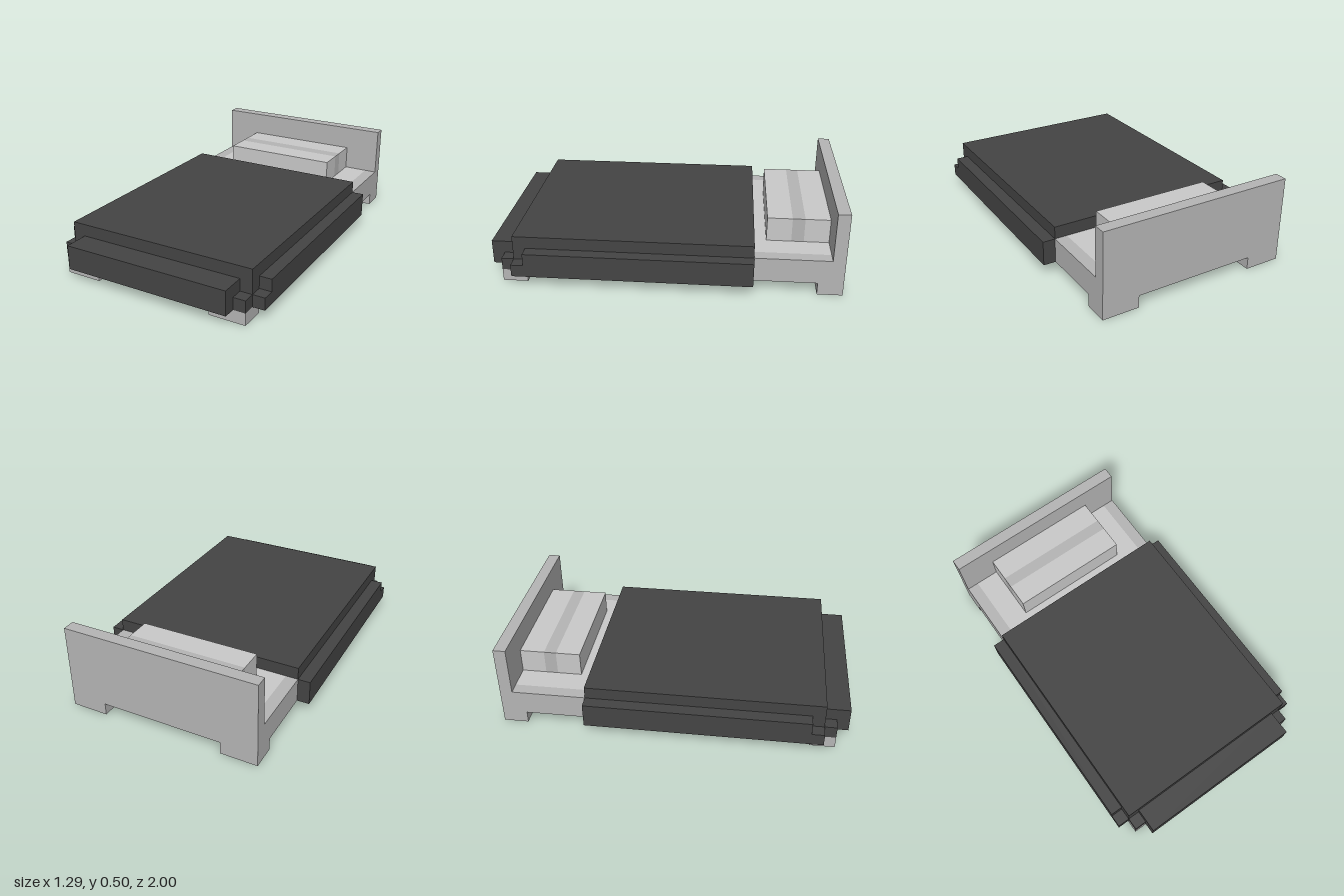
import * as THREE from 'three';

const U = 1 / 14; // size of one grid cell

const paint = (name, hex) => {
  const m = new THREE.MeshStandardMaterial({ color: hex });
  m.name = name;
  return m;
};

export function createModel() {
  const bed = new THREE.Group();
  bed.name = 'bed';
  const frameGrey = paint('frame grey', 0xb5b5b5);
  const linen = paint('light linen', 0xc9c9c9);
  const dark = paint('dark blanket', 0x444444);

  // Block between two corners given in grid cells
  const block = (name, material, [x0, x1], [y0, y1], [z0, z1]) => {
    const geometry = new THREE.BoxGeometry((x1 - x0) * U, (y1 - y0) * U, (z1 - z0) * U);
    const mesh = new THREE.Mesh(geometry, material);
    mesh.position.set((x0 + x1) / 2, (y0 + y1) / 2, (z0 + z1) / 2).multiplyScalar(U);
    mesh.name = name;
    bed.add(mesh);
  };
  // The same block on the left and right
  const pair = (name, material, [x0, x1], y, z) => {
    block(name + 'Left', material, [x0, x1], y, z);
    block(name + 'Right', material, [-x1, -x0], y, z);
  };

  // Frame, headboard and legs
  block('headboard', frameGrey, [-8, 8], [1, 7], [-14, -13]);
  block('bedBase', frameGrey, [-8, 8], [1, 2], [-13, 12]);
  pair('sideRail', frameGrey, [7, 8], [2, 3], [-13, 11]);
  pair('backLeg', frameGrey, [5, 8], [0, 1], [-14, -12]);
  pair('frontLeg', frameGrey, [5, 8], [0, 1], [11, 13]);

  // Mattress and striped pillow
  block('mattress', linen, [-7, 7], [2, 3], [-13, 12]);
  block('pillowBack', linen, [-5, 5], [3, 5], [-13, -11]);
  block('pillowStripe', frameGrey, [-5, 5], [3, 5], [-11, -10]);
  block('pillowFront', linen, [-5, 5], [3, 5], [-10, -8]);

  // Blanket: top, hanging sides, stepped corners and foot end
  block('blanketTop', dark, [-8, 8], [3, 4], [-7, 12]);
  pair('blanketSide', dark, [8, 9], [1, 3], [-7, 11]);
  pair('blanketSideStep', dark, [8, 9], [1, 2], [11, 12]);
  pair('blanketCorner', dark, [7, 8], [2, 3], [11, 12]);
  pair('blanketFootStep', dark, [7, 8], [1, 2], [12, 13]);
  block('blanketFoot', dark, [-7, 7], [1, 3], [12, 14]);

  return bed;
}
